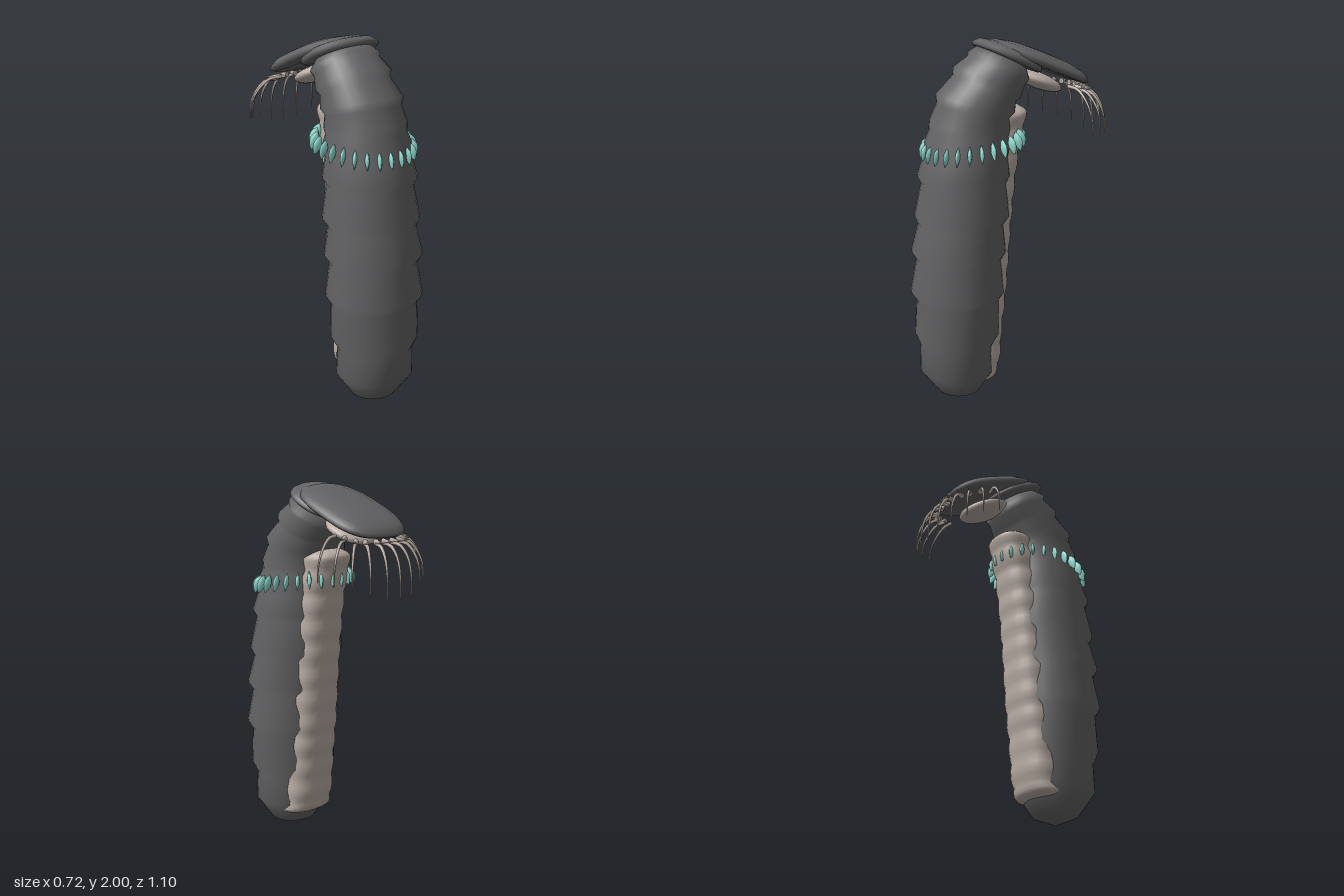
import * as THREE from 'three';

const mat = (name, color) => {
  const m = new THREE.MeshStandardMaterial({ color });
  m.name = name;
  return m;
};

// Smooth closed skin over rings { y, z, rx, rz, tilt, p, pb };
// tilt lifts the front (+z) side, p / pb are the roundness of front / back halves
function loft(rings, sides) {
  const pos = [], idx = [];
  for (const { y, z, rx, rz = rx, tilt = 0, p = 2, pb = p } of rings) {
    for (let j = 0; j < sides; j++) {
      const a = (j / sides) * Math.PI * 2, c = Math.cos(a), s = Math.sin(a);
      const e = 2 / (s >= 0 ? p : pb);
      const lx = rx * Math.sign(c) * Math.abs(c) ** e;
      const lz = rz * Math.sign(s) * Math.abs(s) ** e;
      pos.push(lx, y + lz * Math.sin(tilt), z + lz * Math.cos(tilt));
    }
  }
  for (let i = 0; i < rings.length - 1; i++) {
    for (let j = 0; j < sides; j++) {
      const k = (j + 1) % sides, a = i * sides + j, b = i * sides + k;
      idx.push(a, a + sides, b, b, a + sides, b + sides);
    }
  }
  const g = new THREE.BufferGeometry();
  g.setAttribute('position', new THREE.Float32BufferAttribute(pos, 3));
  g.setIndex(idx);
  g.computeVertexNormals();
  return g;
}

// Domed plate: flat underside, rounded rim, shallow dome
function plate(y, z, rx, rz, tilt, height, p, pb) {
  const profile = [[0.001, -0.3], [0.6, -0.3], [0.93, -0.2], [1, 0], [0.97, 0.28],
    [0.86, 0.62], [0.6, 0.88], [0.3, 0.98], [0.001, 1]];
  return loft(profile.map(([s, h]) => ({
    y: y + h * height * Math.cos(tilt), z: z - h * height * Math.sin(tilt),
    rx: rx * s, rz: rz * s, tilt, p, pb,
  })), 40);
}

// Tube that narrows towards its end
function taperedTube(points, r0, r1) {
  const curve = new THREE.CatmullRomCurve3(points), segs = 12, sides = 7;
  const g = new THREE.TubeGeometry(curve, segs, r0, sides);
  const pos = g.attributes.position, v = new THREE.Vector3();
  for (let i = 0; i < pos.count; i++) {
    const t = Math.floor(i / (sides + 1)) / segs, c = curve.getPointAt(t);
    v.fromBufferAttribute(pos, i).sub(c).multiplyScalar(1 + (r1 / r0 - 1) * t).add(c);
    pos.setXYZ(i, v.x, v.y, v.z);
  }
  return g;
}

export function createModel() {
  const group = new THREE.Group();
  const shell = mat('dark shell', 0x646466);
  const skin = mat('pale underside', 0xb8aca4);
  const teal = mat('teal petals', 0x8fdacf);
  const add = (name, geometry, material, parent = group) => {
    const m = new THREE.Mesh(geometry, material);
    m.name = name;
    parent.add(m);
    return m;
  };

  // Segmented body and bending neck: [y, z, rx, rz, tilt]
  const body = [
    [0, 0.3, 0.001, 0.001, 0], [0.05, 0.3, 0.13, 0.12, 0], [0.175, 0.305, 0.217, 0.205, 0],
    [0.33, 0.305, 0.207, 0.205, 0], [0.4, 0.3, 0.245, 0.235, 0],
    [0.6, 0.295, 0.243, 0.225, 0], [0.645, 0.295, 0.27, 0.255, 0],
    [0.83, 0.285, 0.24, 0.23, 0], [0.875, 0.285, 0.27, 0.255, 0],
    [1.03, 0.27, 0.237, 0.23, 0], [1.075, 0.262, 0.265, 0.255, 0],
    [1.255, 0.25, 0.232, 0.228, 0], [1.295, 0.25, 0.256, 0.246, 0],
    [1.4, 0.235, 0.228, 0.225, 0.02], [1.47, 0.225, 0.235, 0.225, 0.04],
    [1.52, 0.215, 0.213, 0.213, 0.08], [1.56, 0.21, 0.222, 0.215, 0.12],
    [1.635, 0.19, 0.205, 0.195, 0.22], [1.67, 0.178, 0.222, 0.212, 0.25],
    [1.745, 0.125, 0.198, 0.175, 0.45], [1.775, 0.11, 0.212, 0.19, 0.48],
    [1.835, 0.055, 0.187, 0.165, 0.52], [1.86, 0.04, 0.2, 0.17, 0.5],
    [1.91, 0.02, 0.15, 0.13, 0.48], [1.92, 0.015, 0.001, 0.001, 0.48],
  ].map(([y, z, rx, rz, tilt]) => ({ y, z, rx, rz, tilt }));
  add('segmentedBody', loft(body, 28), shell);

  // Rippled strip along the back side, following the body's lean
  const backEdge = new THREE.CatmullRomCurve3([
    [0.1, 0.12], [0.18, 0.08], [0.44, 0.05], [0.65, 0.025], [0.92, 0.003],
    [1.18, -0.022], [1.4, -0.052], [1.56, -0.09], [1.66, -0.108],
  ].map(([y, z]) => new THREE.Vector3(0, y, z)));
  const strip = [];
  const n = 66;
  for (let i = 0; i <= n; i++) {
    const t = i / n, q = backEdge.getPoint(t);
    const end = Math.max(0.01, Math.min(1, t / 0.08, (1 - t) / 0.07));
    const round = Math.sqrt(1 - (1 - end) ** 2);
    const ripple = 0.009 * (Math.abs(Math.sin((q.y - 0.06) * Math.PI / 0.135)) - 0.6);
    strip.push({
      y: q.y, z: q.z + 0.12, p: 2.5,
      rx: (0.16 - 0.03 * t + ripple) * round, rz: (0.12 + ripple) * round,
    });
  }
  add('undersideStrip', loft(strip, 24), skin);

  // Head: rear shield overlapping a rounded front lobe, with a pale pad beneath
  const head = new THREE.Group();
  head.name = 'head';
  group.add(head);
  add('headShield', plate(1.86, -0.175, 0.225, 0.292, 0.4, 0.064, 2.6, 3.2), shell, head);
  add('headLobe', plate(1.9, -0.005, 0.212, 0.185, 0.45, 0.058, 2.3, 2.3), shell, head);
  const pad = add('mouthPad', new THREE.SphereGeometry(1, 24, 14), skin, head);
  pad.scale.set(0.14, 0.045, 0.145);
  pad.position.set(0, 1.765, -0.185);
  pad.rotation.x = -0.4;

  // Drooping feelers around the rim: base x, y, z, tip x, y, z
  const feelers = [
    [0, 1.715, -0.42, 0, 1.42, -0.545], [0.055, 1.715, -0.42, 0.088, 1.44, -0.538],
    [0.115, 1.715, -0.405, 0.18, 1.48, -0.51], [0.155, 1.72, -0.375, 0.26, 1.5, -0.46],
    [0.185, 1.735, -0.325, 0.32, 1.52, -0.395], [0.195, 1.755, -0.27, 0.36, 1.535, -0.32],
  ];
  const spikeGeo = new THREE.ConeGeometry(0.016, 0.07, 8);
  feelers.forEach(([bx, by, bz, tx, ty, tz], i) => {
    for (const s of i ? [1, -1] : [1]) {
      const at = (f, y) => new THREE.Vector3(s * (bx + (tx - bx) * f), y, bz + (tz - bz) * f);
      const pts = [at(0, by), at(0.4, by - 0.01), at(0.78, by - 0.07), at(0.95, (by + ty) / 2 - 0.02), at(1, ty)];
      add('feeler', taperedTube(pts, 0.01, 0.0025), skin, head);
      // Short spike beside each feeler root
      if (i === 5) continue;
      const dir = at(1, 0).sub(at(0, 0)).normalize();
      const spike = add('rimSpike', spikeGeo, skin, head);
      spike.position.copy(at(0, by + 0.01)).addScaledVector(dir, 0.03);
      spike.quaternion.setFromUnitVectors(new THREE.Vector3(0, 1, 0), dir);
    }
  });

  // Collar of thin leaf-shaped petals, higher at the back
  const collar = new THREE.Group();
  collar.name = 'petalCollar';
  group.add(collar);
  const petalGeo = new THREE.LatheGeometry([
    [0.001, -0.052], [0.012, -0.036], [0.022, -0.01], [0.022, 0.012], [0.012, 0.036], [0.001, 0.05],
  ].map(([x, y]) => new THREE.Vector2(x, y)), 10);
  petalGeo.scale(0.5, 1, 1.1);
  const count = 26;
  for (let i = 0; i < count; i++) {
    const a = ((i + 0.5) / count) * Math.PI * 2, c = Math.cos(a);
    const petal = add('petal', petalGeo, teal, collar);
    petal.position.set(0.26 * Math.sin(a), 1.467 - 0.037 * c, 0.195 + 0.258 * c);
    petal.rotation.set(-0.35, a, 0, 'YXZ');
  }
  return group;
}
